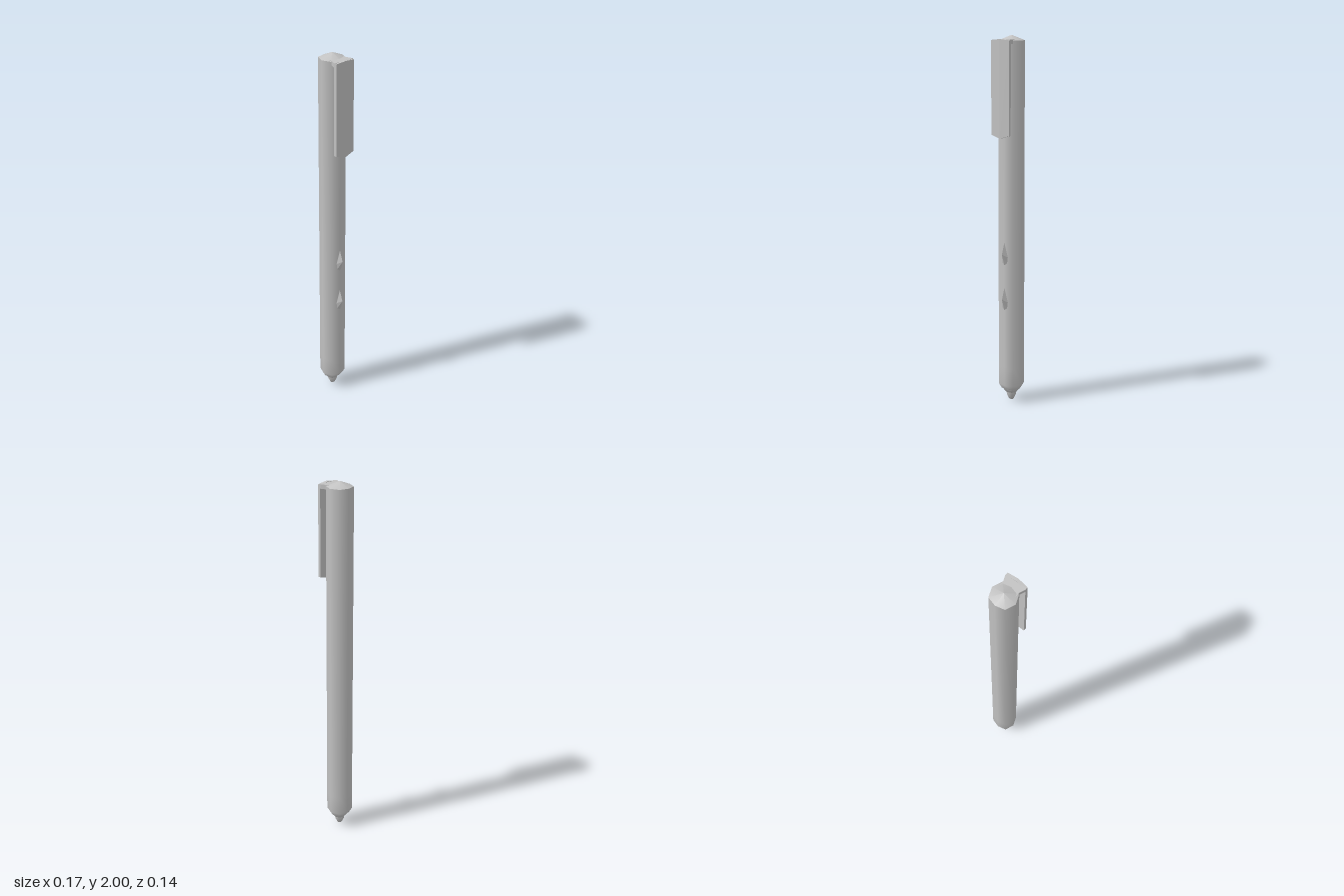
import * as THREE from 'three';
import { ConvexGeometry } from 'three/addons/geometries/ConvexGeometry.js';

const V2 = (p) => new THREE.Vector2(p[0], p[1]);
const AXIS = -0.021; // x of the barrel axis

export function createModel() {
  const model = new THREE.Group();
  const grey = new THREE.MeshStandardMaterial({ color: 0xc2c2c2 });
  grey.name = 'lightGrey';

  const add = (name, geometry) => {
    const mesh = new THREE.Mesh(geometry, grey);
    mesh.name = name;
    model.add(mesh);
    return mesh;
  };

  // Eight-sided turned part, slightly boxier across x at the diagonal corners
  const turned = (name, profile) => {
    const g = new THREE.LatheGeometry(profile.map(V2), 8);
    const p = g.attributes.position;
    for (let i = 0; i < p.count; i++) {
      const x = p.getX(i), z = p.getZ(i);
      const diagonal = Math.abs(x) > 0.2 * Math.abs(z) && Math.abs(z) > 0.2 * Math.abs(x);
      p.setXYZ(i, x * 0.92 * (diagonal ? 1.13 : 1), p.getY(i), z);
    }
    g.translate(AXIS, 0, 0);
    return add(name, g);
  };

  turned('barrel', [[0.053, 0.072], [0.069, 0.098], [0.069, 0.2], [0.069, 1.972]]);
  turned('barrelEnd', [[0, 0.07], [0.053, 0.072]]);
  turned('cap', [[0.069, 1.972], [0, 2]]);
  turned('collar', [[0.028, 0.048], [0.042, 0.062], [0.044, 0.073]]);
  turned('tip', [[0, 0], [0.014, 0.008], [0.024, 0.03], [0.029, 0.055], [0.029, 0.073]]);

  // Bridge joining the clip to the top of the barrel
  const bridge = new THREE.Shape([
    [0, -0.045], [0.033, -0.047], [0.06, -0.058], [0.07, -0.058],
    [0.07, 0.058], [0.06, 0.058], [0.033, 0.047], [0, 0.045],
  ].map(V2));
  const bridgeGeo = new THREE.ExtrudeGeometry(bridge, { depth: 0.023, bevelEnabled: false });
  bridgeGeo.rotateX(-Math.PI / 2).translate(0, 1.954, 0);
  add('clipBridge', bridgeGeo);

  // Clip blade: two mirrored halves meeting at a shallow ridge
  const halves = [1, -1].map((s) => new THREE.Shape(
    [[0, 1.466], [s * 0.058, 1.483], [s * 0.058, 1.974], [0, 1.98]].map(V2)));
  const blade = new THREE.ExtrudeGeometry(halves, { depth: 0.016, bevelEnabled: false });
  blade.rotateY(Math.PI / 2).translate(0.067, 0, 0);
  const bp = blade.attributes.position;
  for (let i = 0; i < bp.count; i++) {
    bp.setX(i, bp.getX(i) - 0.005 * Math.abs(bp.getZ(i)) / 0.058);
  }
  blade.computeVertexNormals();
  add('clipBlade', blade);

  // Teardrop buttons on the clip side
  const button = new ConvexGeometry([
    [0.037, 0.078, 0], [0.064, 0, 0], [0.037, -0.078, 0],
    [0.034, -0.02, 0.022], [0.034, -0.02, -0.022],
    [0.034, -0.06, 0.018], [0.034, -0.06, -0.018],
  ].map((p) => new THREE.Vector3(...p)));
  for (const [name, y] of [['upperButton', 0.842], ['lowerButton', 0.592]]) {
    add(name, button).position.y = y;
  }

  return model;
}
